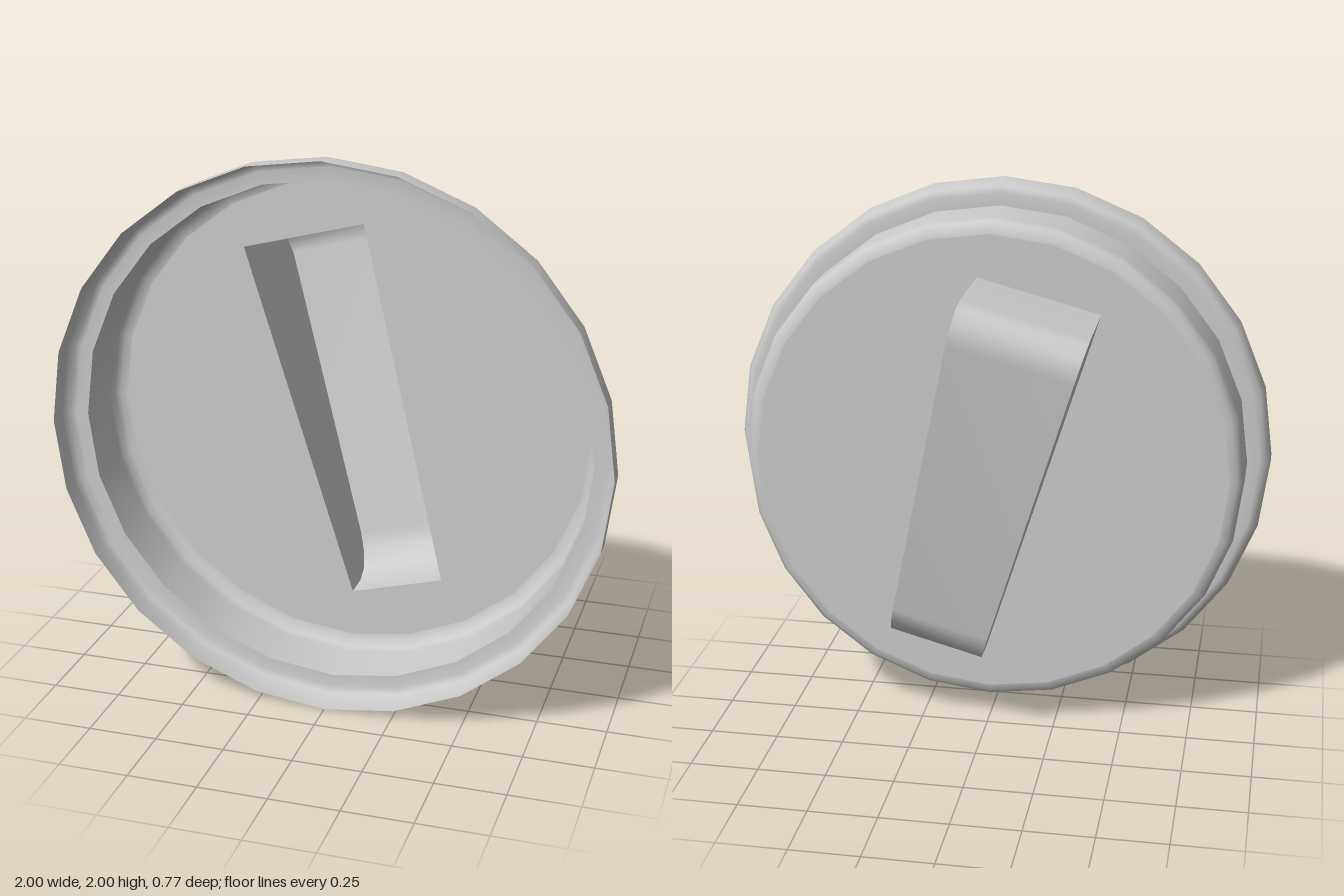
import * as THREE from 'three';

const SIDES = 24;
const FLOOR_Z = 0.04;

const material = new THREE.MeshStandardMaterial({ color: 0xcccccc, side: THREE.DoubleSide });

// Thin ring turned around the z axis; profile points are [radius, z]
function turned(name, profile) {
  const points = profile.map(([r, z]) => new THREE.Vector2(r, z));
  const geometry = new THREE.LatheGeometry(points, SIDES);
  geometry.rotateX(Math.PI / 2).translate(0, 1, 0);
  const mesh = new THREE.Mesh(geometry, material);
  mesh.name = name;
  return mesh;
}

// Surface strip between two rows of points
function strip(name, rowA, rowB) {
  const positions = [];
  const index = [];
  rowA.forEach((a, i) => {
    positions.push(...a, ...rowB[i]);
    if (i < rowA.length - 1) {
      const k = 2 * i;
      index.push(k, k + 1, k + 2, k + 1, k + 3, k + 2);
    }
  });
  const geometry = new THREE.BufferGeometry();
  geometry.setAttribute('position', new THREE.Float32BufferAttribute(positions, 3));
  geometry.setIndex(index);
  geometry.computeVertexNormals();
  const mesh = new THREE.Mesh(geometry, material);
  mesh.name = name;
  return mesh;
}

export function createModel() {
  const group = new THREE.Group();
  group.name = 'lid';

  // Outer lip and dish wall, both open shells
  group.add(turned('lip', [[0.915, 0.28], [0.96, 0.28], [0.985, 0.288], [1, 0.315], [1, 0.385]]));
  const floorRadius = 0.865;
  group.add(turned('dishWall',
    [[floorRadius, FLOOR_Z], [0.89, 0.045], [0.908, 0.063], [0.915, 0.09], [0.915, 0.28]]));

  // Footprint of the hollow grip, top edge to bottom edge
  const leftEdge = [new THREE.Vector2(-0.395, 1.595), new THREE.Vector2(0.005, 0.31)];
  const rightEdge = [new THREE.Vector2(0.045, 1.71), new THREE.Vector2(0.34, 0.4)];

  // Floor with the opening into the grip
  const outline = [];
  for (let i = 0; i < SIDES; i++) {
    const a = (i / SIDES) * Math.PI * 2;
    outline.push(new THREE.Vector2(floorRadius * Math.cos(a), 1 + floorRadius * Math.sin(a)));
  }
  const floorShape = new THREE.Shape(outline);
  floorShape.holes.push(new THREE.Path([leftEdge[0], rightEdge[0], rightEdge[1], leftEdge[1]]));
  const floor = new THREE.Mesh(new THREE.ShapeGeometry(floorShape).translate(0, 0, FLOOR_Z), material);
  floor.name = 'floor';
  group.add(floor);

  // Grip profile: [fraction along its length, z]
  const profile = [
    [0, FLOOR_Z], [0, -0.26], [0.01, -0.32], [0.04, -0.363], [0.1, -0.385],
    [0.9, -0.202], [0.945, -0.177], [0.985, -0.125], [1, -0.06], [1, FLOOR_Z],
  ];
  const row = (edge, points) => points.map(([t, z]) => {
    const p = edge[0].clone().lerp(edge[1], t);
    return [p.x, p.y, z];
  });
  const inner = profile.slice(1, -1);
  const base = inner.map(([t]) => [t, FLOOR_Z]);

  const grip = new THREE.Group();
  grip.name = 'grip';
  grip.add(strip('gripBand', row(leftEdge, profile), row(rightEdge, profile)));
  grip.add(strip('gripRightSide', row(leftEdge, base), row(leftEdge, inner)));
  grip.add(strip('gripLeftSide', row(rightEdge, inner), row(rightEdge, base)));
  group.add(grip);

  return group;
}
